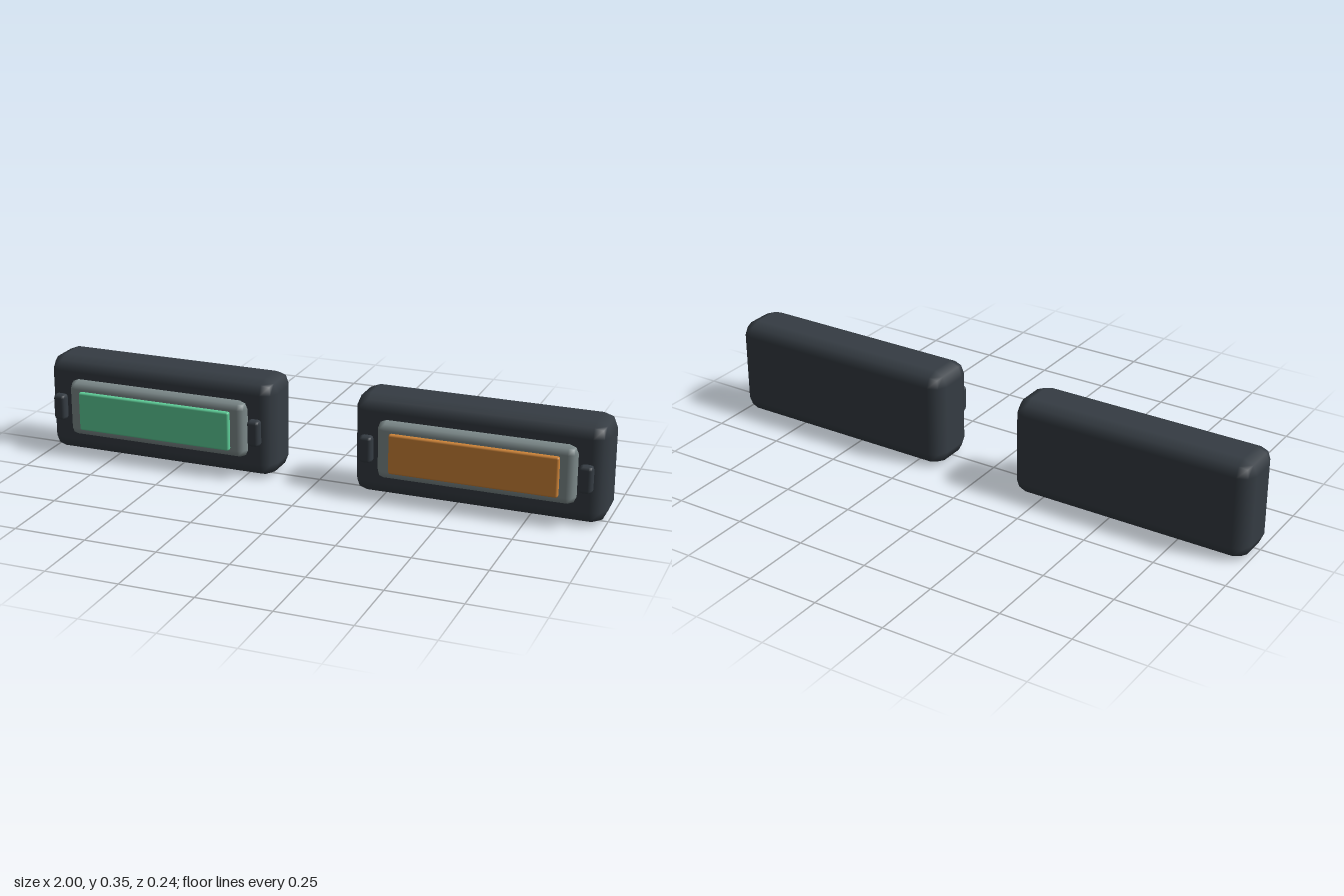
import * as THREE from 'three';
import { RoundedBoxGeometry } from 'three/addons/geometries/RoundedBoxGeometry.js';

const material = (name, color) => {
  const m = new THREE.MeshStandardMaterial({ color });
  m.name = name;
  return m;
};

export function createModel() {
  const charcoal = material('charcoal', 0x353c43);
  const grey = material('grey', 0x7f8c8d);
  const green = material('green', 0x5fd09a);
  const orange = material('orange', 0xd08538);

  // Soft-edged block with a two-step rounded edge
  const block = (name, mat, size, radius, position) => {
    const mesh = new THREE.Mesh(new RoundedBoxGeometry(...size, 1, radius), mat);
    mesh.name = name;
    mesh.position.set(...position);
    return mesh;
  };

  // One display unit: housing, raised bezel, coloured screen and two side clips
  const unit = (name, screenMaterial, x) => {
    const group = new THREE.Group();
    group.name = name;
    group.position.set(x, 0.174, 0);
    group.add(
      block('housing', charcoal, [0.857, 0.347, 0.188], 0.049, [0, 0, -0.024]),
      block('bezel', grey, [0.674, 0.203, 0.06], 0.029, [0, 0, 0.07]),
      block('screen', screenMaterial, [0.573, 0.14, 0.02], 0.008, [0, 0, 0.109]),
    );
    for (const side of [-1, 1]) {
      group.add(block(side > 0 ? 'leftClip' : 'rightClip', charcoal,
        [0.047, 0.096, 0.036], 0.014, [side * 0.37, 0, 0.092]));
    }
    return group;
  };

  const model = new THREE.Group();
  model.name = 'displayPair';
  model.add(unit('rightUnit', green, -0.5715), unit('leftUnit', orange, 0.5715));
  return model;
}
